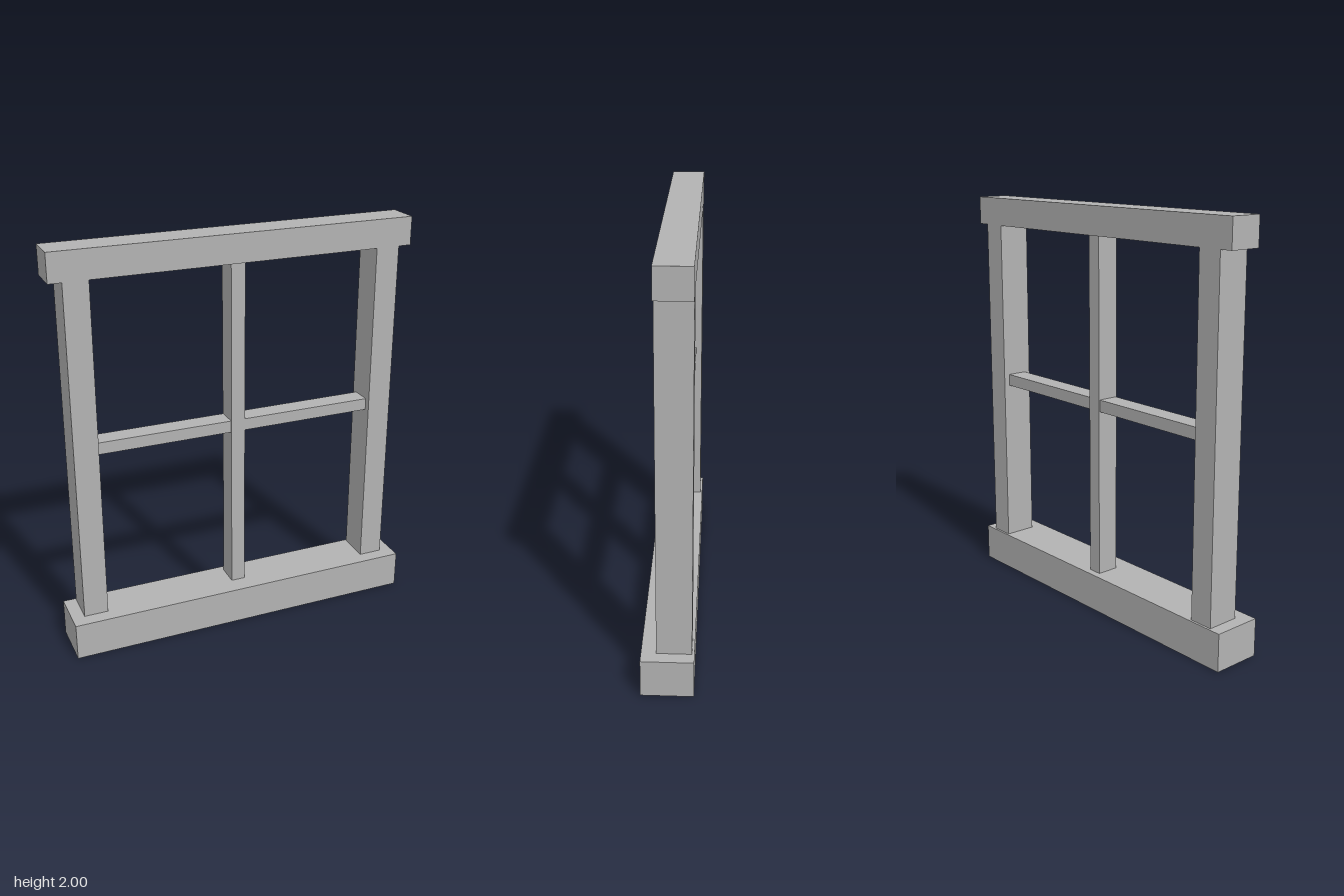
import * as THREE from 'three';

export function createModel() {
  const model = new THREE.Group();
  model.name = 'windowFrame';
  const grey = new THREE.MeshStandardMaterial({ color: 0xb2b2b2 });
  grey.name = 'plain grey';

  // Box given by its extents on each axis
  function bar(name, [x0, x1], [y0, y1], [z0, z1]) {
    const mesh = new THREE.Mesh(new THREE.BoxGeometry(x1 - x0, y1 - y0, z1 - z0), grey);
    mesh.position.set((x0 + x1) / 2, (y0 + y1) / 2, (z0 + z1) / 2);
    mesh.name = name;
    model.add(mesh);
  }

  const frameDepth = [-0.11, 0.052];
  const opening = [0.185, 1.862];

  // Deep sill and overhanging header
  bar('sill', [-0.887, 0.887], [0, opening[0]], [-0.121, 0.121]);
  bar('header', [-0.887, 0.887], [opening[1], 2], frameDepth);

  // Side posts
  bar('leftPost', [0.705, 0.824], opening, frameDepth);
  bar('rightPost', [-0.824, -0.705], opening, frameDepth);

  // Thinner glazing bars, set back from the frame faces
  bar('mullion', [-0.035, 0.035], opening, [-0.085, 0.026]);
  bar('leftGlazingBar', [0.035, 0.705], [1.021, 1.08], [-0.08, 0.021]);
  bar('rightGlazingBar', [-0.705, -0.035], [1.021, 1.08], [-0.08, 0.021]);

  return model;
}
